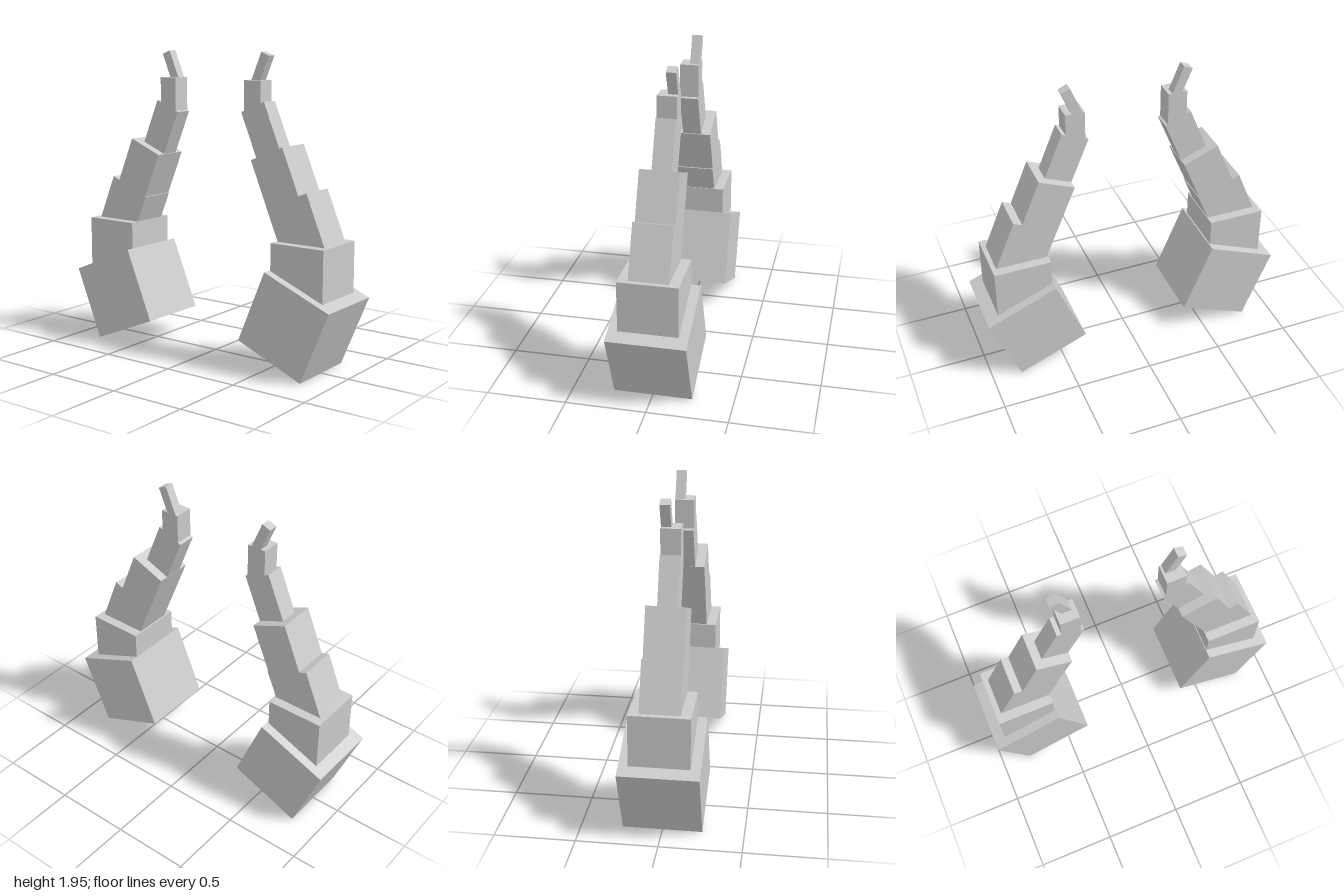
import * as THREE from 'three';

const TILT = Math.PI / 8;
const material = new THREE.MeshStandardMaterial({ color: 0xcccccc, flatShading: true });

// Block hung from the centre of its top face; positive lean tips it toward the middle (x = 0)
function block(name, side, x, y, width, height, depth, lean, z = 0) {
  const mesh = new THREE.Mesh(new THREE.BoxGeometry(width, height, depth), material);
  mesh.name = name;
  const a = lean * TILT;
  mesh.position.set(side * (x + Math.sin(a) * height / 2), y - Math.cos(a) * height / 2, z);
  mesh.rotation.z = side * a;
  return mesh;
}

// Top-centre positions of the upper segments differ slightly between the two horns
const horns = [
  { name: 'leftHorn', side: 1, collar: 0.735, lower: [0.619, 1.072], middle: [0.4725, 1.346],
    upper: [0.3265, 1.618], neck: 0.3235, tip: [0.376, 1.941] },
  { name: 'rightHorn', side: -1, collar: 0.74, lower: [0.629, 1.047], middle: [0.4875, 1.325],
    upper: [0.346, 1.595], neck: 0.339, tip: [0.402, 1.941] },
];

export function createModel() {
  const model = new THREE.Group();
  model.name = 'hornPair';
  for (const h of horns) {
    const horn = new THREE.Group();
    horn.name = h.name;
    const s = h.side;
    horn.add(
      // outward-leaning root and upright collar
      block('root', s, 0.771, 0.552, 0.49, 0.495, 0.49, -1),
      block('collar', s, h.collar, 0.815, 0.37, 0.37, 0.37, 0),
      // tapering segments leaning inward
      block('lowerSegment', s, ...h.lower, 0.305, 0.37, 0.245, 1),
      block('middleSegment', s, ...h.middle, 0.245, 0.37, 0.245, 1),
      block('upperSegment', s, ...h.upper, 0.182, 0.37, 0.122, 1),
      // upright neck and small tip set toward the back
      block('neck', s, h.neck, 1.78, 0.123, 0.245, 0.122, 0),
      block('tip', s, ...h.tip, 0.061, 0.22, 0.061, -1, -0.03),
    );
    model.add(horn);
  }
  // root centres sit over their lower corners
  model.traverse((o) => {
    if (o.name === 'root') o.position.set(Math.sign(o.position.x) * 0.677, 0.322, 0);
  });
  return model;
}
